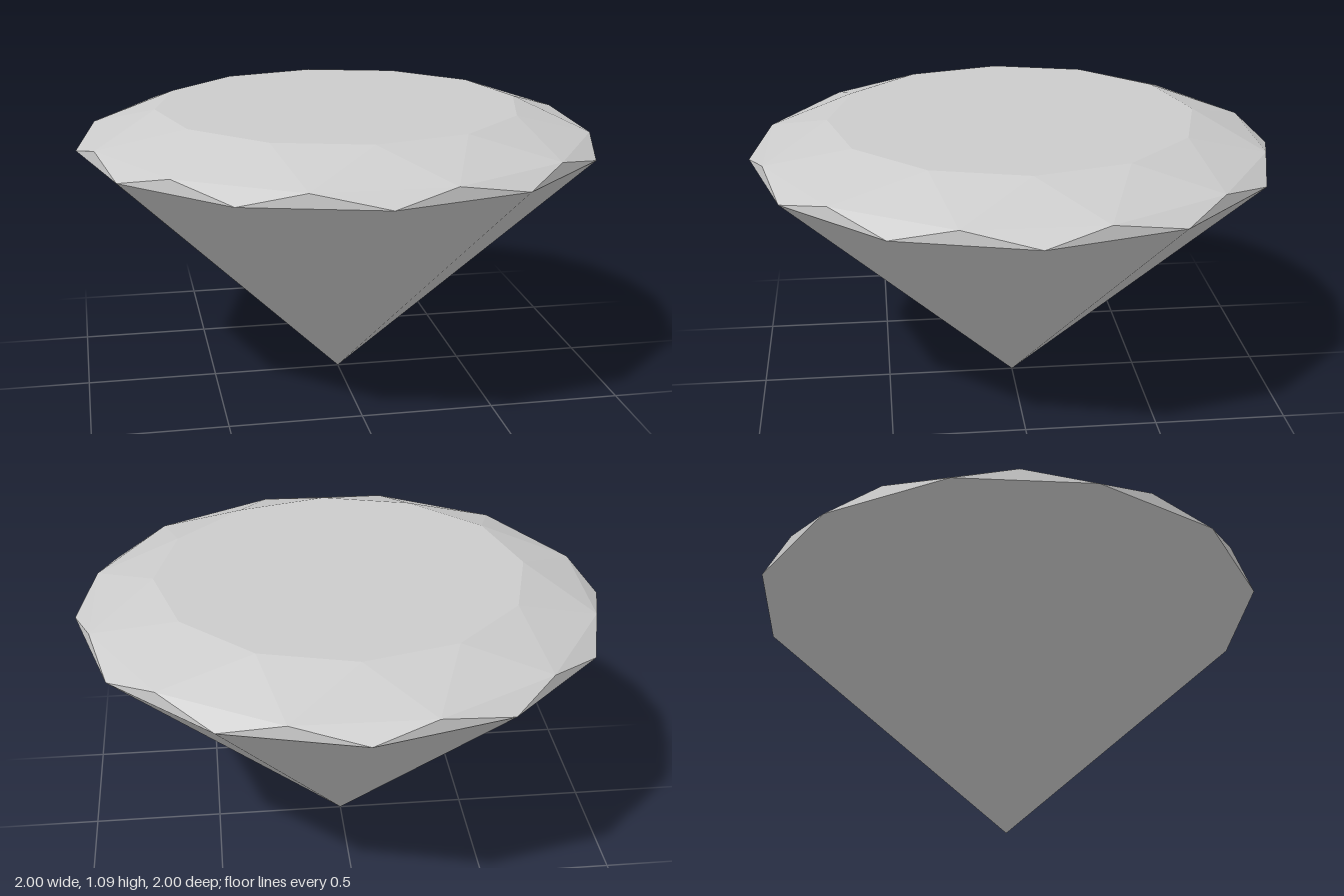
import * as THREE from 'three';

const SIDES = 12;
const STEP = (Math.PI * 2) / SIDES;

// Ring of evenly spaced points, optionally rotated by an offset angle
function ring(radius, y, offset = 0) {
  return (i) => new THREE.Vector3(
    Math.cos(i * STEP + offset) * radius, y, Math.sin(i * STEP + offset) * radius);
}

// Flat-faceted mesh made by repeating a few triangles around the stone
function facets(name, material, trianglesAt) {
  const points = [];
  for (let i = 0; i < SIDES; i++) points.push(...trianglesAt(i, i + 1));
  const geometry = new THREE.BufferGeometry().setFromPoints(points);
  geometry.computeVertexNormals();
  const mesh = new THREE.Mesh(geometry, material);
  mesh.name = name;
  return mesh;
}

export function createModel() {
  const model = new THREE.Group();
  model.name = 'cutGem';
  const material = new THREE.MeshStandardMaterial({ color: 0xcccccc, flatShading: true });

  const tip = new THREE.Vector3(0, 0, 0);
  const centre = new THREE.Vector3(0, 1.09, 0);
  const girdle = ring(1, 0.944);
  const middle = ring(0.962, 0.995, THREE.MathUtils.degToRad(16.1)); // slightly twisted
  const table = ring(0.7, 1.09);

  // Pointed underside
  model.add(facets('pavilion', material, (i, j) => [tip, girdle(i), girdle(j)]));

  // Zigzag of small facets just above the widest edge
  model.add(facets('girdleFacets', material, (i, j) => [
    girdle(i), middle(i), girdle(j),
    girdle(j), middle(i), middle(j),
  ]));

  // Sloping facets up to the flat top
  model.add(facets('crownFacets', material, (i, j) => [
    middle(i), table(j), middle(j),
    middle(i), table(i), table(j),
  ]));

  // Flat top
  model.add(facets('table', material, (i, j) => [centre, table(j), table(i)]));

  return model;
}
